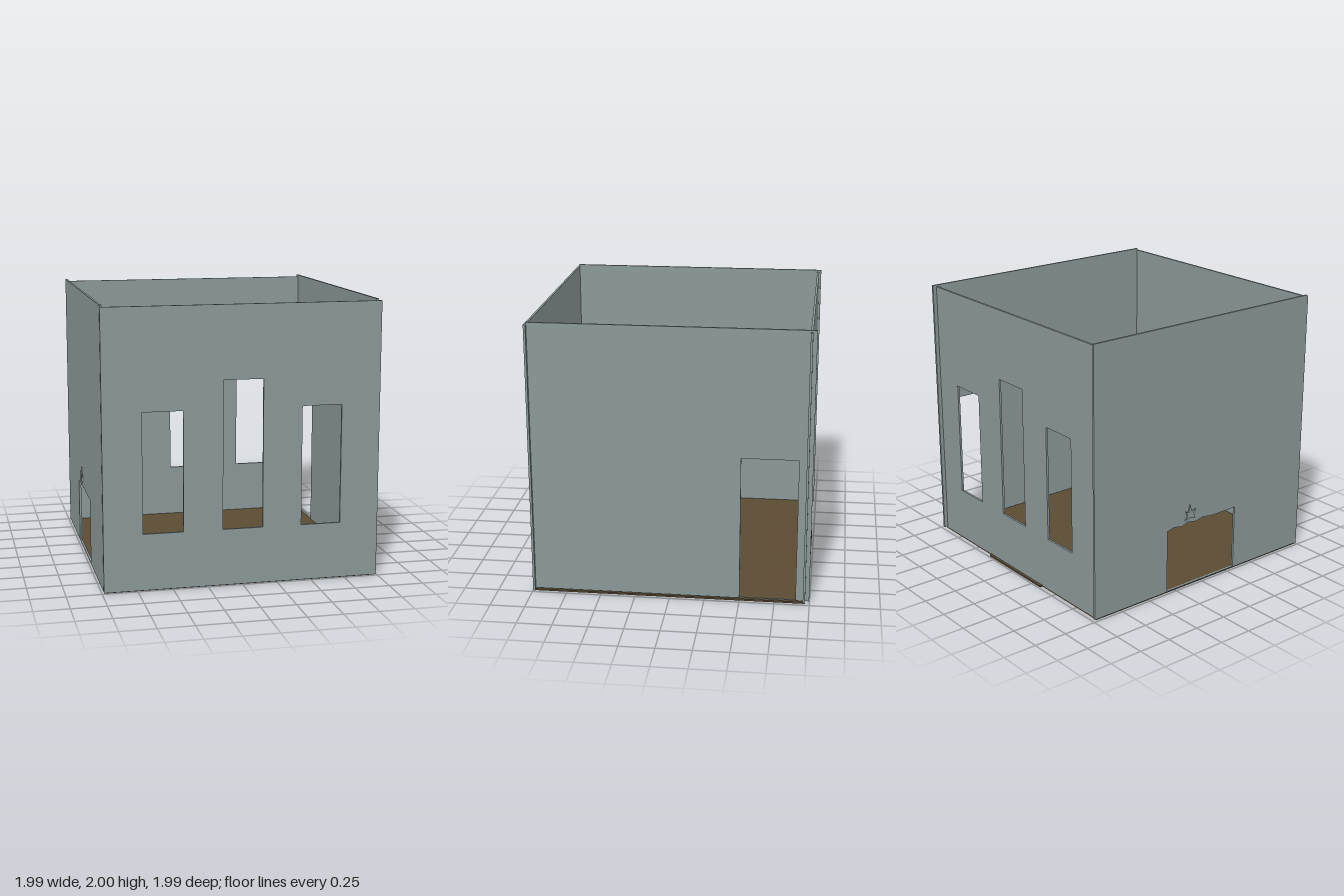
import * as THREE from 'three';

export function createModel() {
  const room = new THREE.Group();
  room.name = 'room';
  const make = (name, color) => {
    const m = new THREE.MeshStandardMaterial({ color });
    m.name = name;
    return m;
  };
  const plaster = make('grey wall', 0x8a9797);
  const wood = make('brown floor', 0x5a4b33);
  const T = 0.016; // panel thickness

  const polygon = (points) => points.map(([u, v]) => new THREE.Vector2(u, v));
  const rect = (u0, v0, u1, v1) => [[u0, v0], [u1, v0], [u1, v1], [u0, v1]];

  // Flat panel with cut-outs
  function panel(name, outline, holes, material, depth = T) {
    const shape = new THREE.Shape(polygon(outline));
    holes.forEach((h) => shape.holes.push(new THREE.Path(polygon(h))));
    const mesh = new THREE.Mesh(
      new THREE.ExtrudeGeometry(shape, { depth, bevelEnabled: false }), material);
    mesh.name = name;
    room.add(mesh);
    return mesh;
  }
  // Turns a panel so its width runs along z, with its outer face at x
  const turnToSide = (mesh, x) => {
    mesh.geometry.rotateY(-Math.PI / 2);
    mesh.position.x = x;
  };

  // Front and back walls, each with a tall window between two shorter ones
  const windows = [[-0.567, 1.265], [0, 1.467], [0.567, 1.265]]
    .map(([x, top]) => rect(x - 0.143, 0.41, x + 0.143, top));
  panel('frontWall', rect(-0.987, 0.005, 0.99, 1.987), windows, plaster).position.z = 0.98;
  panel('backWall', rect(-0.987, 0.012, 0.99, 1.987), windows, plaster).position.z = -0.969;

  // Right wall with a doorway
  turnToSide(panel('rightWall', rect(-0.998, 0.018, 0.985, 2),
    [rect(-0.9, 0.02, -0.5, 1.077)], plaster), 0.967);

  // Left wall with a low, slightly ragged opening
  const opening = [[-0.33, 0.016], [0.32, 0.016], [0.32, 0.5], [0.1, 0.497], [0, 0.51],
    [-0.06, 0.495], [-0.14, 0.51], [-0.2, 0.49], [-0.27, 0.505], [-0.33, 0.49]];
  turnToSide(panel('leftWall', rect(-0.985, 0.01, 0.985, 2), [opening], plaster), -0.972);

  // Small jagged fragment above the low opening
  const shard = [[-0.17, 0.53], [-0.12, 0.545], [-0.075, 0.53], [-0.09, 0.57], [-0.07, 0.6],
    [-0.11, 0.59], [-0.125, 0.643], [-0.14, 0.585], [-0.165, 0.6], [-0.15, 0.56]];
  turnToSide(panel('wallFragment', shard, [], plaster, 0.009), -0.988);

  // Floor with a sill reaching out behind the back wall
  const floor = panel('floor', [[-0.98, -0.985], [0.975, -0.985], [0.975, 0.966],
    [0.32, 0.966], [0.32, 0.988], [-0.34, 0.988], [-0.34, 0.966], [-0.98, 0.966]], [], wood, 0.012);
  floor.geometry.rotateX(-Math.PI / 2);

  return room;
}
